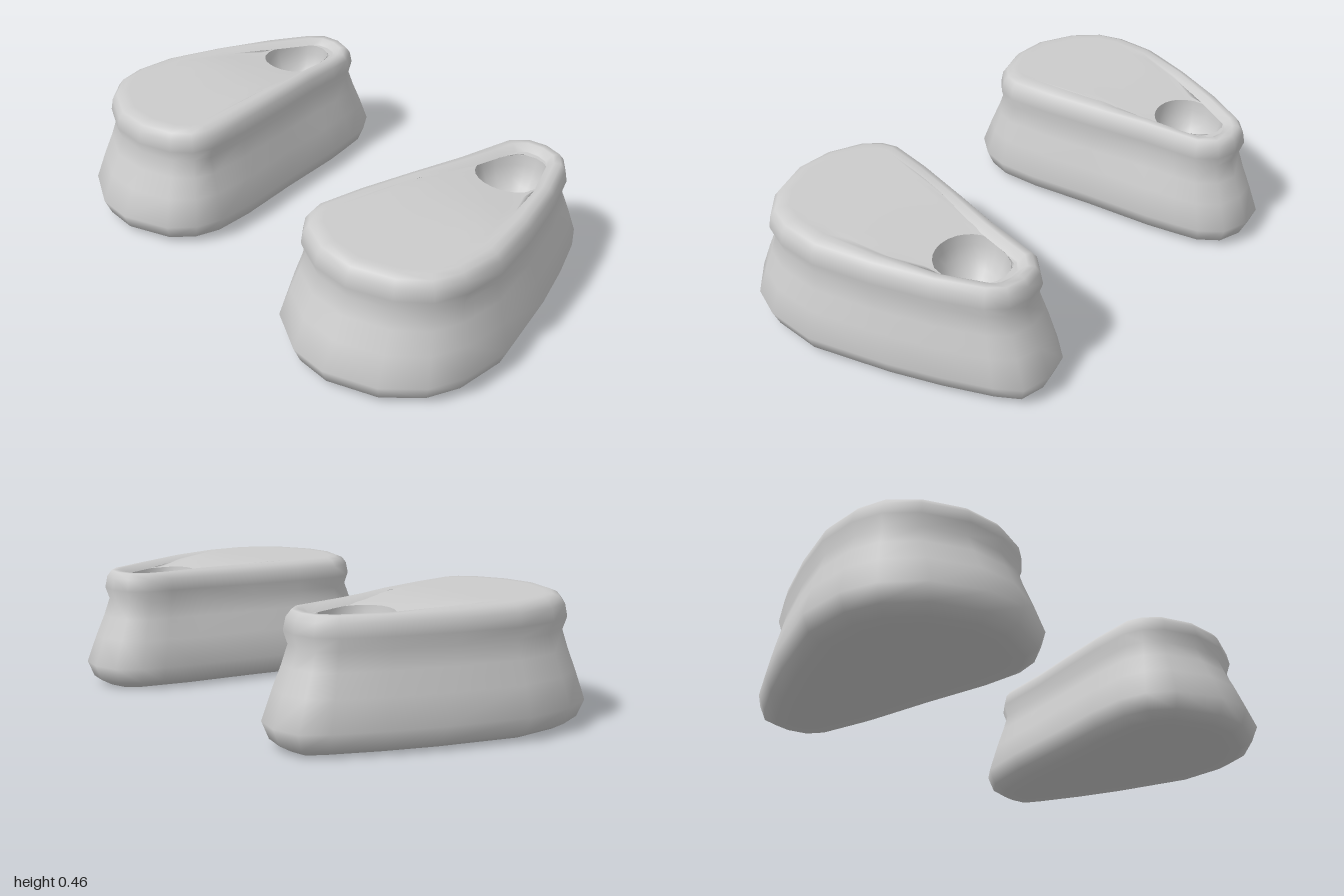
import * as THREE from 'three';

// Outlines of the left shoe as [x, z], counter-clockwise seen from above, starting at the heel
const SOLE = [
  [0.75, -0.535], [0.69, -0.62], [0.585, -0.64], [0.48, -0.61], [0.415, -0.53],
  [0.39, -0.44], [0.36, -0.32], [0.315, -0.05], [0.265, 0.2], [0.25, 0.36],
  [0.275, 0.465], [0.345, 0.555], [0.52, 0.635], [0.665, 0.635], [0.845, 0.555],
  [0.955, 0.435], [1.0, 0.305], [1.0, 0.107], [0.905, -0.187], [0.83, -0.37],
];
const COLLAR = [
  [0.72, -0.48], [0.665, -0.535], [0.585, -0.55], [0.505, -0.53], [0.45, -0.465],
  [0.435, -0.375], [0.415, -0.24], [0.37, -0.03], [0.33, 0.175], [0.308, 0.35],
  [0.33, 0.42], [0.39, 0.48], [0.52, 0.53], [0.665, 0.53], [0.815, 0.465],
  [0.905, 0.375], [0.94, 0.267], [0.94, 0.107], [0.88, -0.107], [0.80, -0.32],
];
const N = SOLE.length;
const HOLE = { x: 0.607, z: -0.322, rx: 0.127, rz: 0.137, depth: 0.16 };
const { lerp, smoothstep } = THREE.MathUtils;

// Heights of the rim and of the top, which sinks towards the heel
const rimY = z => 0.458 - 0.01 * smoothstep(-z, 0.1, 0.35);
const topY = z => 0.457 - 0.03 * smoothstep(-z, -0.05, 0.3);

// Outline blended from sole to collar by t, moved inwards by inset
function ring(y, t, inset) {
  const pts = SOLE.map((p, j) => [lerp(p[0], COLLAR[j][0], t), lerp(p[1], COLLAR[j][1], t)]);
  return pts.map((p, j) => {
    const a = pts[(j + N - 1) % N], b = pts[(j + 1) % N];
    const dx = b[0] - a[0], dz = b[1] - a[1], l = Math.hypot(dx, dz);
    const x = p[0] + (dz / l) * inset, z = p[1] - (dx / l) * inset;
    return [x, typeof y === 'function' ? y(z) : y, z];
  });
}

// Egg-shaped ring of the ankle hole, its points turned towards the collar points
function holeRing(scale, drop) {
  return COLLAR.map((p, j) => {
    let a = Math.atan2(HOLE.z - p[1], p[0] - HOLE.x);
    if (a < 0 || j > 15) a += Math.PI * 2;
    a = (a + ((j + 1) / N) * Math.PI * 2) / 2;
    const s = Math.sin(a);
    const x = HOLE.x + Math.cos(a) * HOLE.rx * (1 - 0.1 * s) * scale;
    const z = HOLE.z - s * HOLE.rz * scale;
    return [x, topY(z) - drop, z];
  });
}

// Skin over a stack of rings; side -1 mirrors it
function loft(rings, side) {
  const pos = [], index = [];
  rings.forEach(r => r.forEach(p => pos.push(p[0] * side, p[1], p[2])));
  for (let i = 0; i < rings.length - 1; i++) {
    for (let j = 0; j < N; j++) {
      const k = (j + 1) % N;
      const a = i * N + j, b = i * N + k, c = a + N, d = b + N;
      if (side > 0) index.push(a, b, c, b, d, c);
      else index.push(a, c, b, b, c, d);
    }
  }
  const geo = new THREE.BufferGeometry();
  geo.setAttribute('position', new THREE.Float32BufferAttribute(pos, 3));
  geo.setIndex(index);
  geo.computeVertexNormals();
  return geo;
}

function createShoe(side, material) {
  const shoe = new THREE.Group();

  // Underside, flared sole, waist, rolled collar
  const rings = [
    SOLE.map(() => [0.62, 0, 0.1]),
    ring(0, 0, 0.12), ring(0, 0, 0.07), ring(0.025, 0, 0.025), ring(0.085, 0, 0),
    ring(0.19, 0.45, 0), ring(0.27, 0.8, 0.003), ring(0.335, 1, 0.008),
    ring(0.38, 1, -0.007), ring(0.425, 1, 0.002), ring(0.448, 1, 0.02),
    ring(rimY, 1, 0.045), ring(topY, 1, 0.072),
  ];
  // Top surface running in to the ankle hole
  const edge = rings[rings.length - 1], hole = holeRing(1, 0);
  for (let s = 1; s <= 5; s++) {
    rings.push(edge.map((p, j) => {
      const x = lerp(p[0], hole[j][0], s / 5), z = lerp(p[2], hole[j][2], s / 5);
      return [x, topY(z), z];
    }));
  }
  const body = new THREE.Mesh(loft(rings, side), material);
  body.name = 'shoeBody';

  // Rounded socket of the ankle hole
  const bowl = [];
  for (let s = 0; s <= 6; s++) {
    const a = (s / 6) * Math.PI / 2;
    bowl.push(holeRing(Math.cos(a), Math.sin(a) * HOLE.depth));
  }
  const socket = new THREE.Mesh(loft(bowl, side), material);
  socket.name = 'ankleSocket';

  shoe.add(body, socket);
  return shoe;
}

export function createModel() {
  const model = new THREE.Group();
  model.name = 'pairOfShoes';
  const material = new THREE.MeshStandardMaterial({ color: 0xcccccc });
  for (const [name, side] of [['leftShoe', 1], ['rightShoe', -1]]) {
    const shoe = createShoe(side, material);
    shoe.name = name;
    model.add(shoe);
  }
  return model;
}
